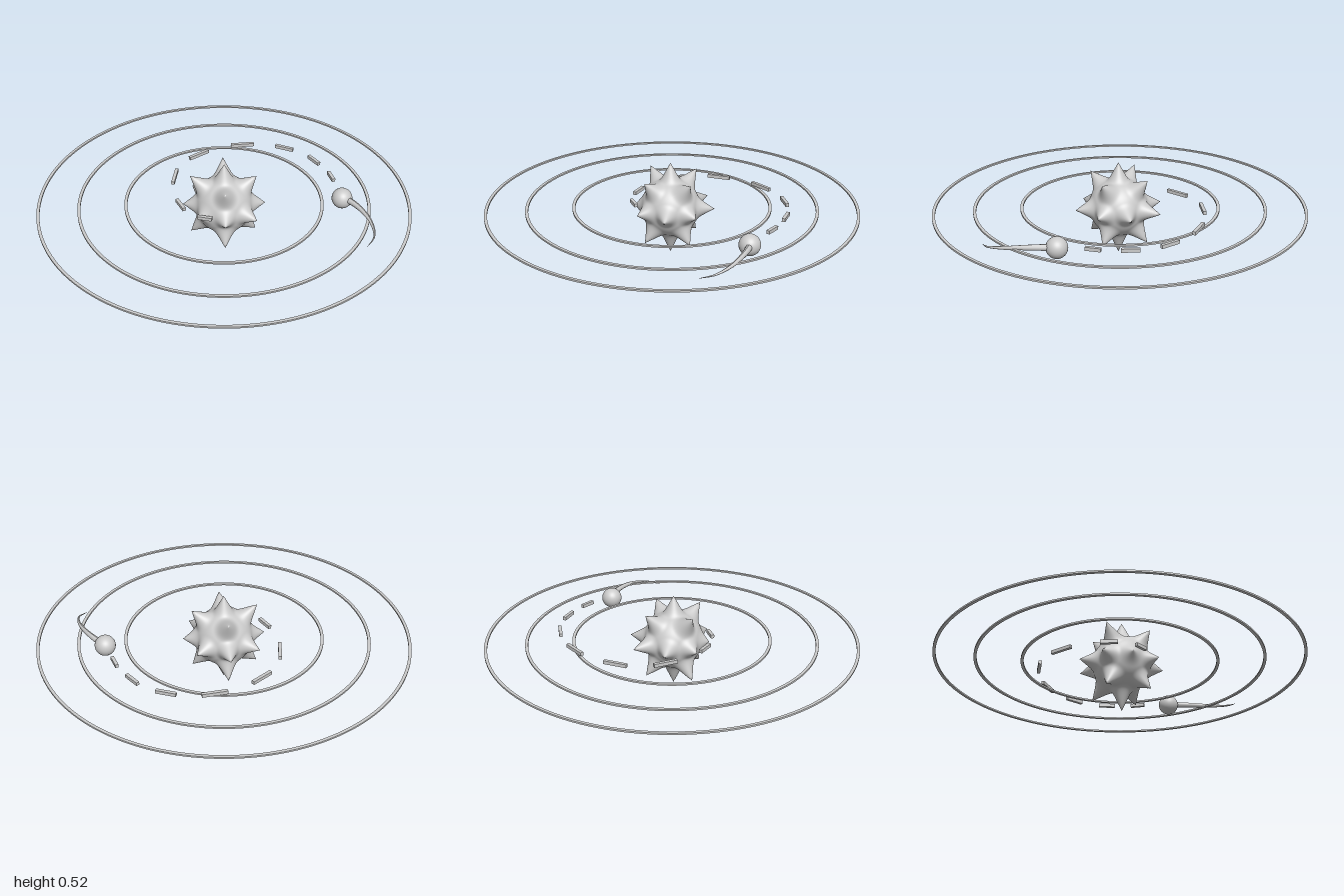
import * as THREE from 'three';
import { mergeVertices } from 'three/addons/utils/BufferGeometryUtils.js';

const material = new THREE.MeshStandardMaterial({ color: 0xcccccc });
const ORBIT_Y = 0.275;

function add(group, name, geometry) {
  const mesh = new THREE.Mesh(geometry, material);
  mesh.name = name;
  group.add(mesh);
  return mesh;
}

// Length of the spike pointing along (x, y, z), each -1, 0 or 1
function spikeReach(x, y, z) {
  if (x && y) return x < 0 ? 0.255 : 0.243;
  if (y && z) return z < 0 ? 0.25 : 0.243;
  if (x && z) return x < 0 && z > 0 ? 0.195 : 0.238;
  if (y) return y > 0 ? 0.25 : 0.268;
  return z < 0 ? 0.255 : 0.222;
}

// Ball with 18 concave spikes: along the axes and the diagonals between them
function spikyStar() {
  const spikes = [];
  for (let x = -1; x <= 1; x++) for (let y = -1; y <= 1; y++) for (let z = -1; z <= 1; z++) {
    const axes = Math.abs(x) + Math.abs(y) + Math.abs(z);
    if (axes !== 1 && axes !== 2) continue;
    spikes.push({ dir: new THREE.Vector3(x, y, z).normalize(), reach: spikeReach(x, y, z) });
  }
  // An even cube grid puts a vertex exactly on every spike tip
  let geo = new THREE.BoxGeometry(2, 2, 2, 48, 48, 48);
  geo.deleteAttribute('uv');
  geo.deleteAttribute('normal');
  geo = mergeVertices(geo, 1e-4);
  const pos = geo.attributes.position, v = new THREE.Vector3();
  const core = 0.158, spread = 0.48;
  for (let i = 0; i < pos.count; i++) {
    v.fromBufferAttribute(pos, i);
    v.set(...v.toArray().map((c) => Math.tan(c * Math.PI / 4))).normalize();
    let r = core;
    for (const s of spikes) {
      const t = 1 - v.angleTo(s.dir) / spread;
      if (t > 0) r += (s.reach - core) * Math.pow(t, 2.3);
    }
    v.multiplyScalar(r);
    pos.setXYZ(i, v.x, v.y, v.z);
  }
  geo.computeVertexNormals();
  return geo;
}

// Flat band with a rectangular section
function orbitRing(outer, width = 0.016, thick = 0.009) {
  const shape = new THREE.Shape().absarc(0, 0, outer, 0, Math.PI * 2);
  shape.holes.push(new THREE.Path().absarc(0, 0, outer - width, 0, Math.PI * 2, true));
  const geo = new THREE.ExtrudeGeometry(shape, { depth: thick, bevelEnabled: false, curveSegments: 96 });
  return geo.translate(0, 0, -thick / 2).rotateX(-Math.PI / 2);
}

// Tube narrowing to a point
function taperedTail(points, radius) {
  const curve = new THREE.CatmullRomCurve3(points.map((p) => new THREE.Vector3(...p)));
  const rings = 40, sides = 10;
  const geo = new THREE.TubeGeometry(curve, rings, radius, sides);
  const pos = geo.attributes.position, v = new THREE.Vector3();
  for (let i = 0; i < pos.count; i++) {
    const t = Math.floor(i / (sides + 1)) / rings;
    const c = curve.getPointAt(t);
    v.fromBufferAttribute(pos, i).sub(c).multiplyScalar(1 - 0.95 * Math.pow(t, 1.2)).add(c);
    pos.setXYZ(i, v.x, v.y, v.z);
  }
  geo.computeVertexNormals();
  return geo;
}

export function createModel() {
  const model = new THREE.Group();
  model.name = 'orbitModel';

  add(model, 'spikyStar', spikyStar()).position.set(0, 0.268, 0.01);

  // Orbits
  for (const [name, radius] of [['innerOrbit', 0.535], ['middleOrbit', 0.785], ['outerOrbit', 1]]) {
    add(model, name, orbitRing(radius)).position.y = ORBIT_Y;
  }

  // Comet
  const comet = new THREE.Group();
  comet.name = 'comet';
  add(comet, 'cometHead', new THREE.SphereGeometry(0.056, 32, 20)).position.set(0.638, 0.277, 0);
  add(comet, 'cometTail', taperedTail([
    [0.65, 0.28, 0.01], [0.69, 0.285, 0.06], [0.734, 0.284, 0.14],
    [0.765, 0.274, 0.235], [0.764, 0.26, 0.325], [0.72, 0.243, 0.388],
  ], 0.018));
  model.add(comet);

  // Dashed trail spiralling in to the star: start x, z, end x, z
  const trail = new THREE.Group();
  trail.name = 'dashedTrail';
  const dashes = [
    [0.59, -0.222, 0.61, -0.144], [0.497, -0.388, 0.547, -0.308],
    [0.317, -0.505, 0.414, -0.46], [0.06, -0.519, 0.193, -0.53],
    [-0.18, -0.394, -0.075, -0.467], [-0.275, -0.15, -0.253, -0.278],
    [-0.253, 0.01, -0.214, 0.096], [-0.144, 0.166, -0.07, 0.187],
  ];
  for (const [x0, z0, x1, z1] of dashes) {
    const dx = x1 - x0, dz = z1 - z0;
    const dash = add(trail, 'trailDash', new THREE.BoxGeometry(Math.hypot(dx, dz), 0.019, 0.018));
    dash.position.set((x0 + x1) / 2, 0.294, (z0 + z1) / 2);
    dash.rotation.y = -Math.atan2(dz, dx);
  }
  model.add(trail);

  return model;
}
